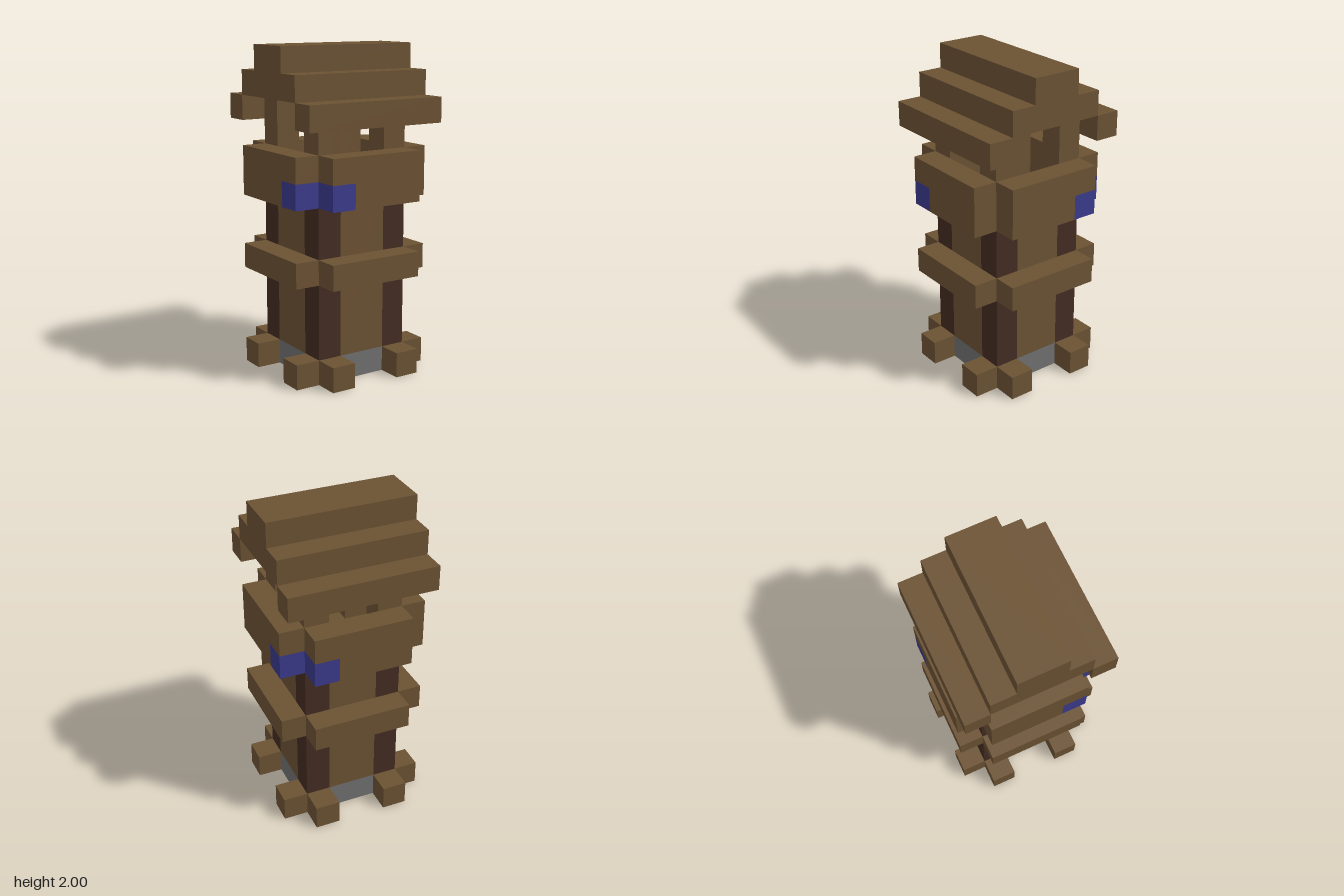
import * as THREE from 'three';

// The tower is laid out on a block grid, 13 blocks tall
const U = 2 / 13;

export function createModel() {
  const material = (name, color) => {
    const m = new THREE.MeshStandardMaterial({ color });
    m.name = name;
    return m;
  };
  const planks = material('brown planks', 0x6b5233);
  const logs = material('dark logs', 0x432c22);
  const stone = material('grey stone', 0x6f6f6f);
  const cloth = material('blue banner', 0x3a3a8c);

  const tower = new THREE.Group();
  tower.name = 'watchtower';

  // Box given by its lowest and highest corner, in blocks
  const block = (parent, name, mat, [x0, y0, z0], [x1, y1, z1]) => {
    const geometry = new THREE.BoxGeometry((x1 - x0) * U, (y1 - y0) * U, (z1 - z0) * U);
    const mesh = new THREE.Mesh(geometry, mat);
    mesh.position.set((x0 + x1) / 2 * U, (y0 + y1) / 2 * U, (z0 + z1) / 2 * U);
    mesh.name = name;
    parent.add(mesh);
  };

  // Foundation and the core of the shaft, whose top is the lookout floor
  block(tower, 'foundation', stone, [-2, 0, -2], [2, 1, 2]);
  block(tower, 'shaftCore', planks, [-1, 1, -1], [1, 7, 1]);

  // Four sides: feet, shaft wall, belt, parapet with a blue end block
  for (let i = 0; i < 4; i++) {
    const side = new THREE.Group();
    side.name = 'side' + (i + 1);
    side.rotation.y = i * Math.PI / 2;
    tower.add(side);

    for (const x of [-2, 1]) block(side, 'foot', planks, [x, 0, 2], [x + 1, 1, 3]);
    block(side, 'shaftWall', planks, [-1, 1, 1], [1, 7, 2]);
    block(side, 'belt', planks, [-2, 4, 2], [2, 5, 3]);

    const blueAtLow = i % 2 === 0;
    const blueX = blueAtLow ? -2 : 1;
    const lowX = blueAtLow ? -1 : -2;
    block(side, 'parapetTop', planks, [-2, 8, 2], [2, 9, 3]);
    block(side, 'parapetBottom', planks, [lowX, 7, 2], [lowX + 3, 8, 3]);
    block(side, 'blueBlock', cloth, [blueX, 7, 2], [blueX + 1, 8, 3]);
  }

  // Corner logs and the roof posts standing on them
  for (const x of [-2, 1]) {
    for (const z of [-2, 1]) {
      block(tower, 'cornerLog', logs, [x, 1, z], [x + 1, 7, z + 1]);
      block(tower, 'roofPost', planks, [x, 7, z], [x + 1, 11, z + 1]);
    }
  }

  // Stepped roof
  for (const z of [-3, 2]) block(tower, 'eave', planks, [-3, 10, z], [3, 11, z + 1]);
  block(tower, 'roofSlab', planks, [-3, 11, -2], [3, 12, 2]);
  block(tower, 'roofRidge', planks, [-3, 12, -1], [3, 13, 1]);

  return tower;
}
